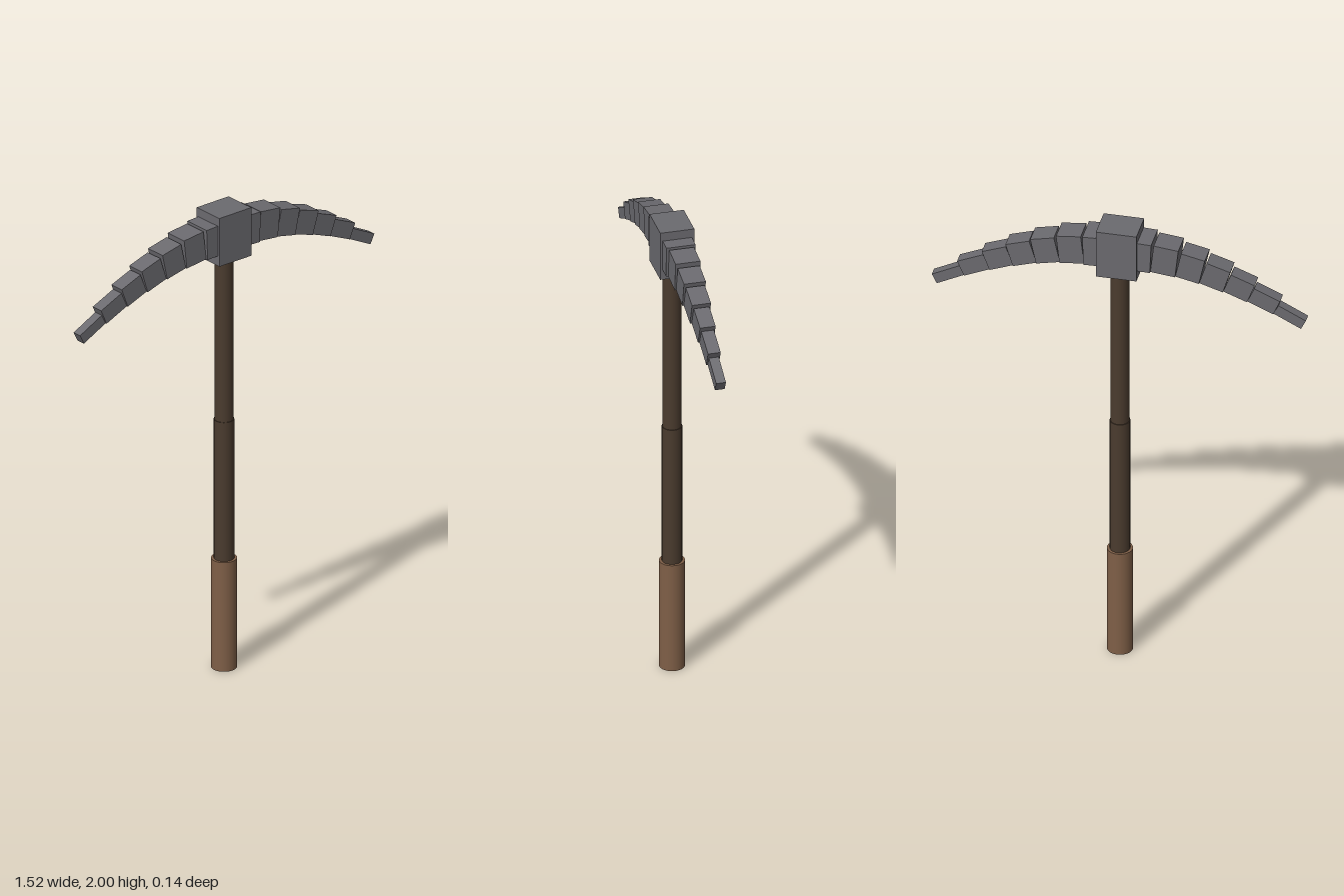
import * as THREE from 'three';

const iron = new THREE.MeshStandardMaterial({ color: 0x6b6a6f });
iron.name = 'iron grey';
const darkWood = new THREE.MeshStandardMaterial({ color: 0x4a3b2e });
darkWood.name = 'dark wood';
const leather = new THREE.MeshStandardMaterial({ color: 0x7f5f47 });
leather.name = 'grip leather';

function add(parent, name, geometry, material, x = 0, y = 0, z = 0) {
  const mesh = new THREE.Mesh(geometry, material);
  mesh.name = name;
  mesh.position.set(x, y, z);
  parent.add(mesh);
  return mesh;
}

// Upright round bar between two heights
function bar(parent, name, rTop, rBottom, y0, y1, material) {
  add(parent, name, new THREE.CylinderGeometry(rTop, rBottom, y1 - y0, 24), material, 0, (y0 + y1) / 2);
}

// One curved arm of stepped boxes sitting on an arc, tapering to the tip
function arm(name, side) {
  const group = new THREE.Group();
  group.name = name;
  const arc = [[0.03, 1.835], [0.135, 1.831], [0.235, 1.82], [0.331, 1.799], [0.427, 1.769],
    [0.524, 1.732], [0.629, 1.686], [0.741, 1.63]];
  const heights = [0.13, 0.125, 0.113, 0.102, 0.088, 0.07, 0.045];
  const depths = [0.12, 0.102, 0.09, 0.078, 0.064, 0.052, 0.04];
  heights.forEach((h, i) => {
    const [x0, y0] = arc[i], [x1, y1] = arc[i + 1];
    const angle = Math.atan2(y1 - y0, x1 - x0);
    // Centre lies half a height above the middle of the lower edge
    const x = (x0 + x1) / 2 - Math.sin(angle) * h / 2;
    const y = (y0 + y1) / 2 + Math.cos(angle) * h / 2;
    const box = new THREE.BoxGeometry(Math.hypot(x1 - x0, y1 - y0), h, depths[i]);
    add(group, `armSegment${i + 1}`, box, iron, side * x, y).rotation.z = side * angle;
  });
  return group;
}

export function createModel() {
  const model = new THREE.Group();
  model.name = 'pickaxe';

  // Handle
  bar(model, 'grip', 0.052, 0.052, 0, 0.475, leather);
  bar(model, 'lowerShaft', 0.041, 0.041, 0.01, 1.08, darkWood);
  bar(model, 'upperShaft', 0.037, 0.038, 1.08, 1.85, darkWood);

  // Head
  add(model, 'headBlock', new THREE.BoxGeometry(0.165, 0.21, 0.14), iron, 0, 1.895);
  model.add(arm('leftArm', 1), arm('rightArm', -1));
  return model;
}
